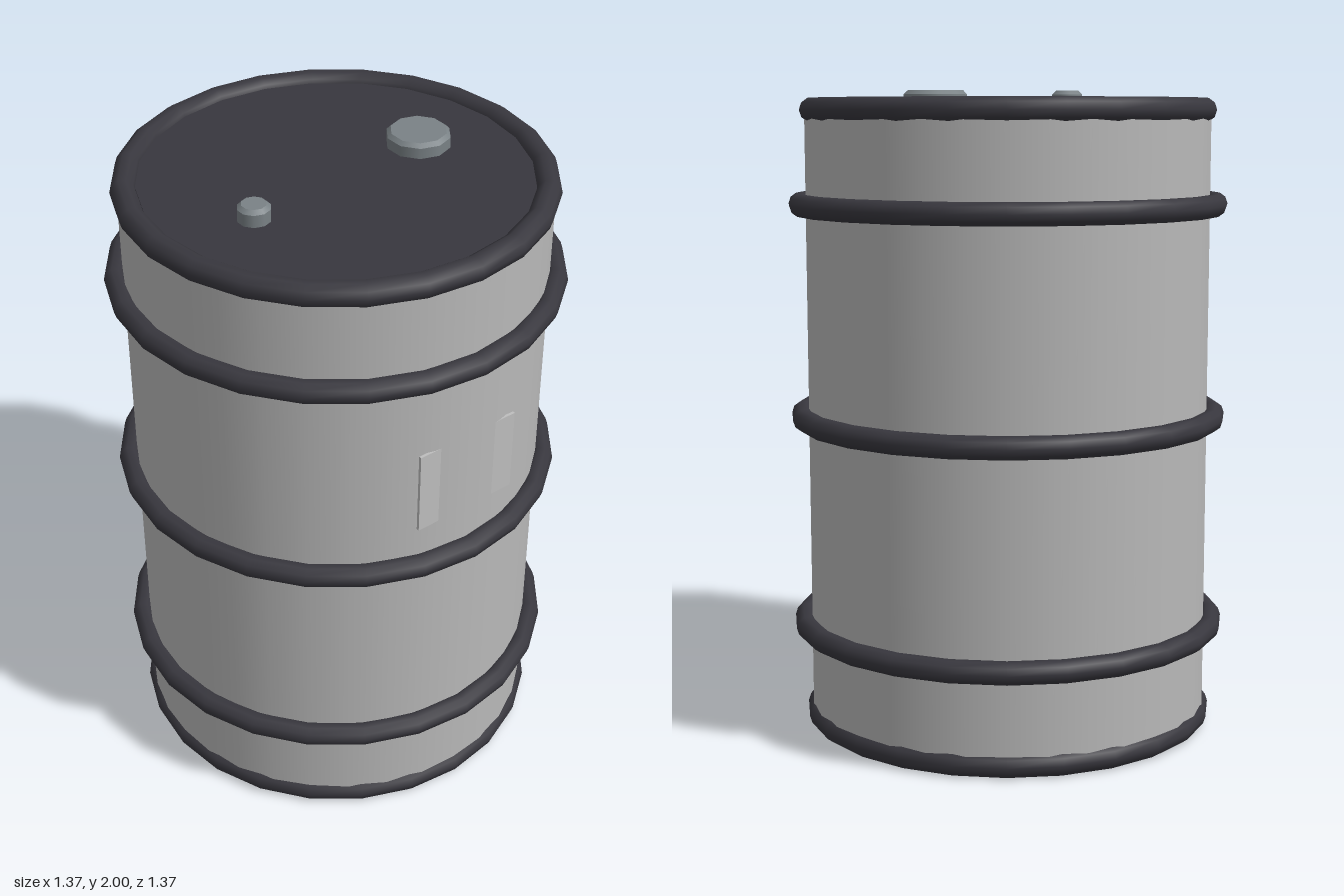
import * as THREE from 'three';

const material = (name, color) => {
  const m = new THREE.MeshStandardMaterial({ color });
  m.name = name;
  return m;
};

export function createModel() {
  const drum = new THREE.Group();
  drum.name = 'drum';

  const paint = material('pale grey paint', 0xb8b8b8);
  const dark = material('dark trim', 0x38373e);
  const steel = material('bung steel', 0x7a8286);
  const labelGrey = material('label grey', 0xbebebe);

  const add = (name, geometry, mat, x = 0, y = 0, z = 0) => {
    const mesh = new THREE.Mesh(geometry, mat);
    mesh.name = name;
    mesh.position.set(x, y, z);
    drum.add(mesh);
    return mesh;
  };

  // Barrel wall with its closed ends
  add('body', new THREE.CylinderGeometry(0.63, 0.63, 1.9, 32), paint, 0, 0.99, 0);

  // Rims at both ends and three raised hoops between them
  const ring = (name, radius, tube, y) =>
    add(name, new THREE.TorusGeometry(radius, tube, 10, 24).rotateX(Math.PI / 2), dark, 0, y, 0);
  ring('bottomRim', 0.61, 0.038, 0.04);
  ring('topRim', 0.61, 0.038, 1.938);
  [0.33, 0.99, 1.65].forEach((y, i) => ring(`hoop${i + 1}`, 0.65, 0.035, y));

  // Dark lid set inside the top rim
  add('lid', new THREE.CylinderGeometry(0.575, 0.575, 0.02, 24), dark, 0, 1.94, 0);

  // Screw-in bungs with a bevelled top edge
  const bung = (name, radius, height, x, z) => {
    const bevel = 0.012;
    const wall = new THREE.CylinderGeometry(radius, radius, height - bevel, 10, 1, true);
    const top = new THREE.CylinderGeometry(radius - bevel, radius, bevel, 10);
    wall.translate(0, (height - bevel) / 2, 0);
    top.translate(0, height - bevel / 2, 0);
    const flat = steel;
    add(name, wall, flat, x, 1.945, z);
    add(`${name}Top`, top, flat, x, 1.945, z);
  };
  bung('largeBung', 0.097, 0.05, 0.305, 0);
  bung('smallBung', 0.049, 0.055, -0.33, 0.06);

  // Flat label plate, partly sunk into the curved front
  add('label', new THREE.BoxGeometry(0.35, 0.265, 0.009), labelGrey, 0, 1.253, 0.6155);

  return drum;
}
